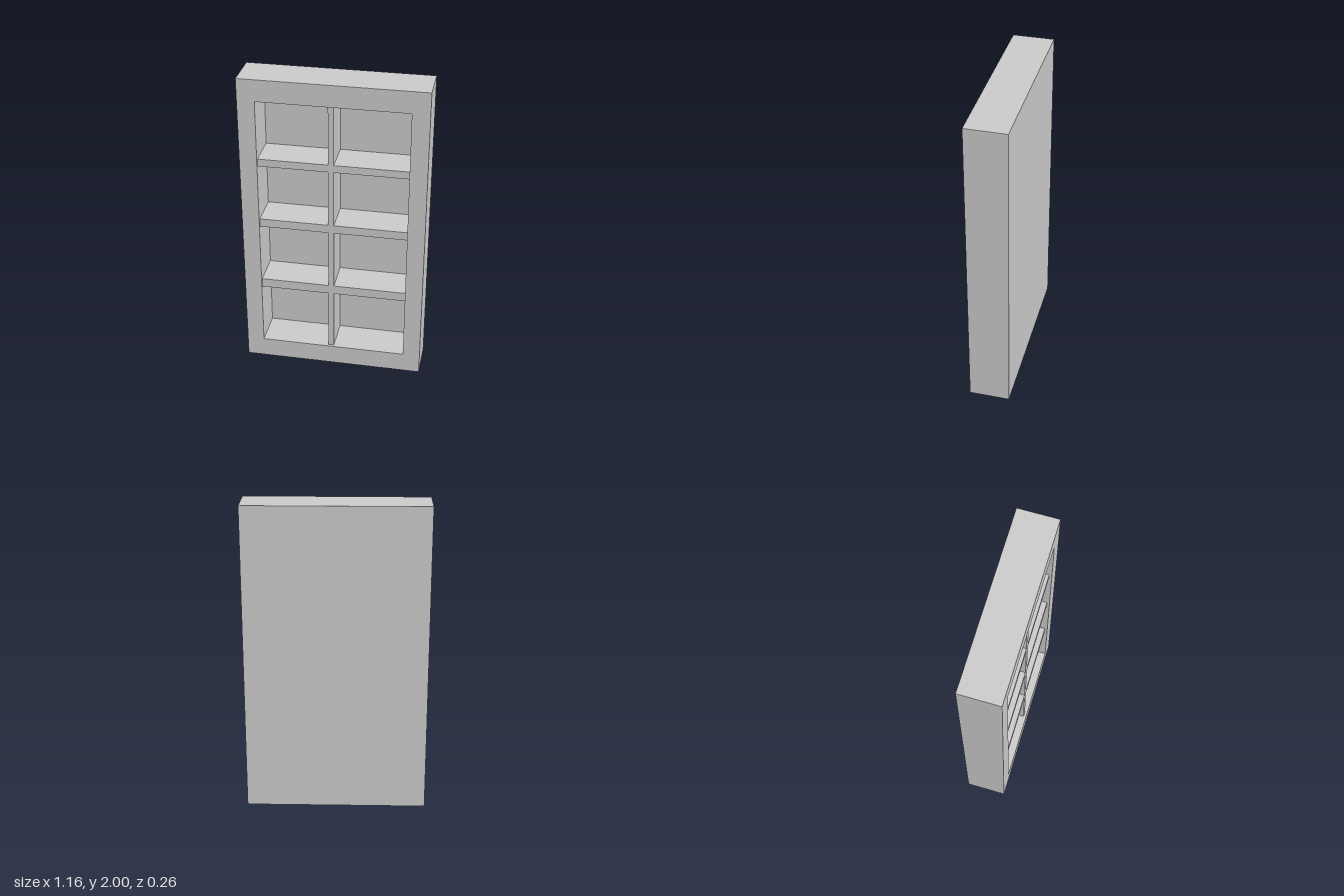
import * as THREE from 'three';

const W = 1.16, H = 2, FRONT = 0.13, BACK = -0.13;
const FLOOR = -0.113;                                             // visible face of the back panel
const RAIL = 0.113;                                               // shelf fronts sit just behind the frame
const OPEN = { left: -0.47, right: 0.47, bottom: 0.13, top: 1.86 };
const DIVIDER = [-0.03, 0.005];
const SHELVES = [[0.54, 0.6], [0.995, 1.05], [1.423, 1.472]];

export function createModel() {
  const group = new THREE.Group();
  const material = new THREE.MeshStandardMaterial({ color: 0xcccccc });

  const add = (name, geometry) => {
    const mesh = new THREE.Mesh(geometry, material);
    mesh.name = name;
    group.add(mesh);
  };
  // Box given by its limits on each axis
  const block = (name, [x0, x1], [y0, y1], [z0, z1]) => {
    const geometry = new THREE.BoxGeometry(x1 - x0, y1 - y0, z1 - z0);
    geometry.translate((x0 + x1) / 2, (y0 + y1) / 2, (z0 + z1) / 2);
    add(name, geometry);
  };
  const rectangle = (path, x0, x1, y0, y1) =>
    path.moveTo(x0, y0).lineTo(x1, y0).lineTo(x1, y1).lineTo(x0, y1).closePath();

  // Outer frame with one tall opening
  const outline = rectangle(new THREE.Shape(), -W / 2, W / 2, 0, H);
  outline.holes.push(rectangle(new THREE.Path(), OPEN.left, OPEN.right, OPEN.bottom, OPEN.top));
  const frame = new THREE.ExtrudeGeometry(outline, { depth: FRONT - FLOOR, bevelEnabled: false });
  frame.translate(0, 0, FLOOR);
  add('frame', frame);

  // Thin panel closing the back
  block('backPanel', [-W / 2, W / 2], [0, H], [BACK, FLOOR]);

  // Upright divider, and shelves on both sides of it
  block('divider', DIVIDER, [OPEN.bottom, OPEN.top], [FLOOR, RAIL]);
  SHELVES.forEach((span, i) => {
    block(`rightShelf${i + 1}`, [OPEN.left, DIVIDER[0]], span, [FLOOR, RAIL]);
    block(`leftShelf${i + 1}`, [DIVIDER[1], OPEN.right], span, [FLOOR, RAIL]);
  });

  return group;
}
